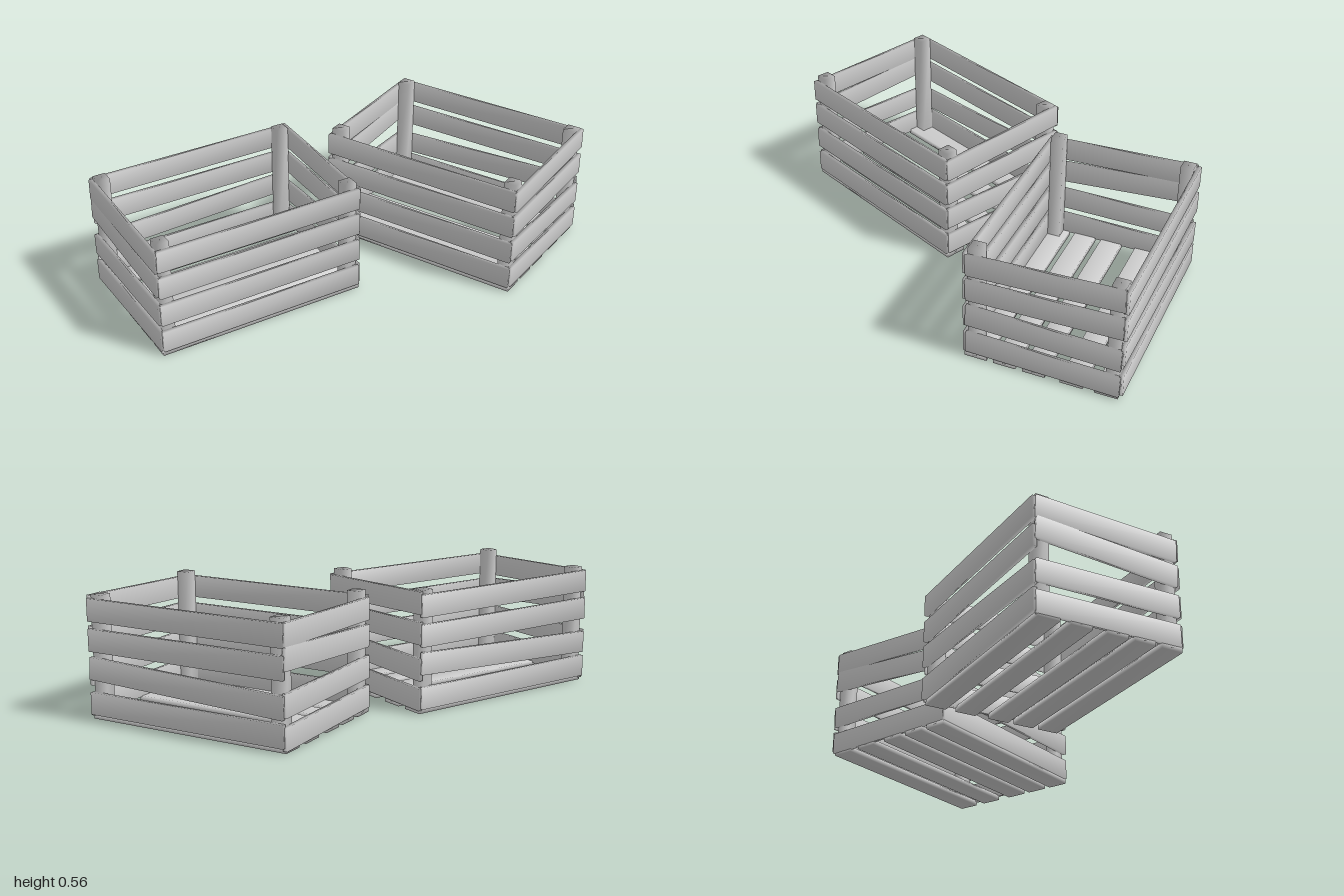
import * as THREE from 'three';
import { mergeVertices } from 'three/addons/utils/BufferGeometryUtils.js';

const material = new THREE.MeshStandardMaterial({ color: 0xcccccc });

// Box with shared corners, so its shading rolls softly over the edges
function softBox(w, h, d) {
  const box = new THREE.BoxGeometry(w, h, d);
  box.deleteAttribute('normal');
  box.deleteAttribute('uv');
  const geometry = mergeVertices(box);
  geometry.computeVertexNormals();
  return geometry;
}

function addBoard(parent, name, w, h, d, x, y, z) {
  const mesh = new THREE.Mesh(softBox(w, h, d), material);
  mesh.name = name;
  mesh.position.set(x, y, z);
  parent.add(mesh);
  return mesh;
}

// Slat heights per wall as [height at the -x or -z end, height at the other end]
const walls = {
  front: [[0.075, 0.075], [0.213, 0.213], [0.353, 0.353], [0.487, 0.487]],
  back: [[0.075, 0.075], [0.195, 0.235], [0.362, 0.362], [0.497, 0.497]],
  left: [[0.067, 0.08], [0.205, 0.222], [0.372, 0.355], [0.51, 0.483]],
  right: [[0.062, 0.075], [0.203, 0.212], [0.4, 0.355], [0.498, 0.478]],
};

function createCrate(name) {
  const crate = new THREE.Group();
  crate.name = name;

  // Floor slats
  for (const z of [-0.287, -0.135, 0.035, 0.168, 0.3])
    addBoard(crate, 'floorSlat', 1.01, 0.026, 0.102, 0, 0.013, z);

  // Corner posts
  for (const x of [-1, 1])
    for (const z of [-1, 1])
      addBoard(crate, 'cornerPost', 0.06, 0.54, 0.06, x * 0.465, 0.295, z * 0.308);

  // Long walls
  for (const [wall, side] of [['front', 1], ['back', -1]])
    for (const [a, b] of walls[wall]) {
      const slat = addBoard(crate, wall + 'Slat', 1.005, 0.102, 0.02, 0, (a + b) / 2, side * 0.349);
      slat.rotation.z = Math.atan2(b - a, 1);
    }

  // Short walls
  for (const [wall, side] of [['left', 1], ['right', -1]])
    for (const [a, b] of walls[wall]) {
      const slat = addBoard(crate, wall + 'Slat', 0.02, 0.102, 0.69, side * 0.503, (a + b) / 2, 0);
      slat.rotation.x = -Math.atan2(b - a, 0.69);
    }
  return crate;
}

export function createModel() {
  const model = new THREE.Group();
  model.name = 'crates';

  const backCrate = createCrate('backCrate');
  backCrate.position.set(0.32, 0, -0.64);

  const frontCrate = createCrate('frontCrate');
  frontCrate.position.set(-0.305, 0, 0.385);
  frontCrate.rotation.y = THREE.MathUtils.degToRad(65.5);

  model.add(backCrate, frontCrate);
  return model;
}
